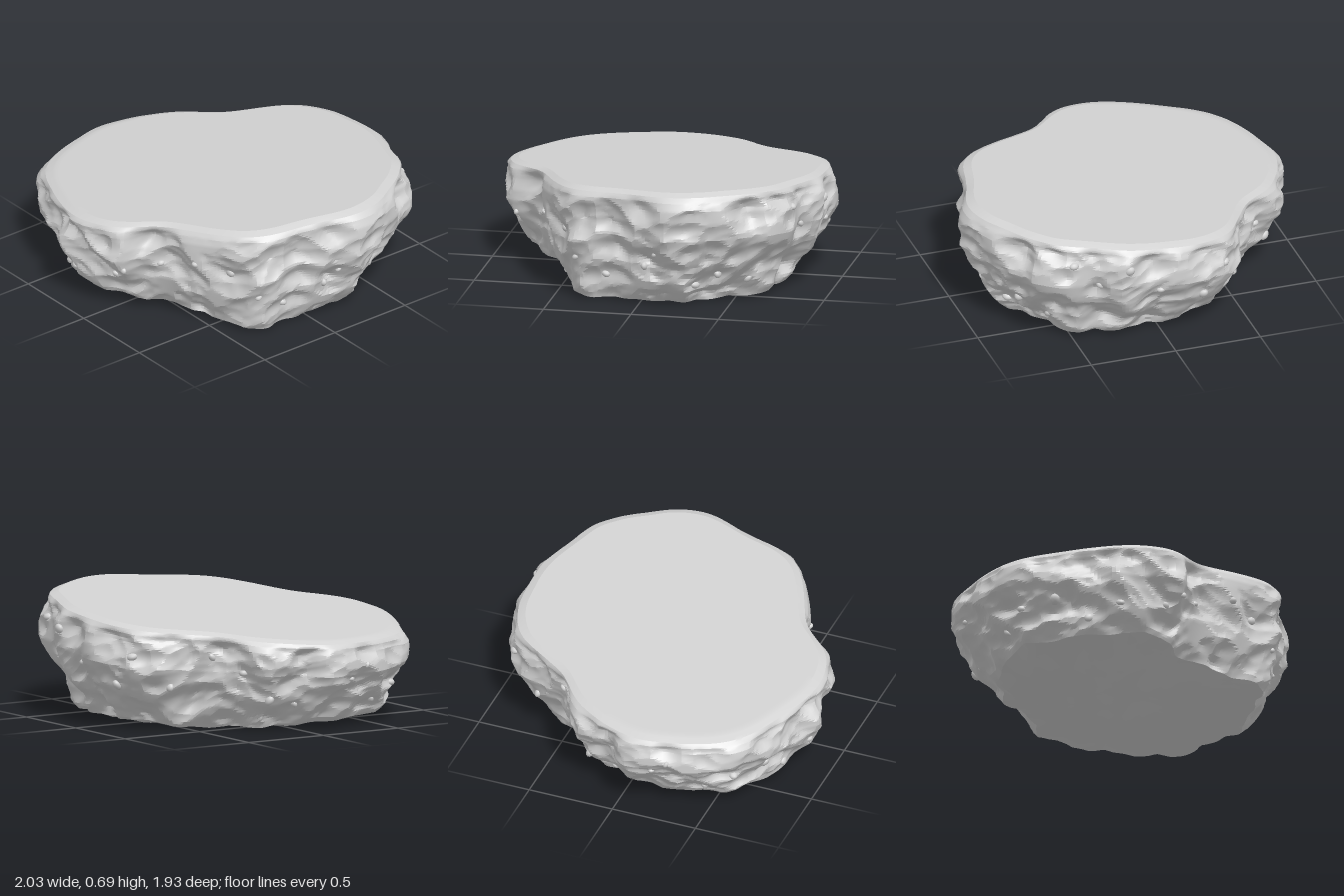
import * as THREE from 'three';
import { toCreasedNormals } from 'three/addons/utils/BufferGeometryUtils.js';

// Rim of the slab seen from above: x, z and how far the base reaches towards the rim
const RIM = [
  [-0.05, -0.96, 0.76], [0.1, -0.935, 0.77], [0.25, -0.965, 0.77], [0.36, -0.915, 0.78], [0.45, -0.845, 0.81],
  [0.6, -0.835, 0.8], [0.75, -0.745, 0.76], [0.8, -0.625, 0.76], [0.9, -0.535, 0.73], [0.945, -0.42, 0.73],
  [0.995, -0.35, 0.74], [1.01, -0.2, 0.74], [0.955, -0.05, 0.79], [0.895, 0.1, 0.83], [0.865, 0.25, 0.87],
  [0.845, 0.38, 0.89], [0.75, 0.46, 0.89], [0.615, 0.535, 0.86], [0.465, 0.615, 0.85], [0.305, 0.665, 0.83],
  [0.205, 0.755, 0.8], [0.13, 0.895, 0.79], [0, 0.93, 0.82], [-0.22, 0.97, 0.84], [-0.415, 0.895, 0.85],
  [-0.615, 0.815, 0.84], [-0.815, 0.695, 0.83], [-0.92, 0.515, 0.79], [-0.985, 0.3, 0.76], [-1.015, 0.02, 0.74],
  [-0.945, -0.06, 0.76], [-0.875, -0.28, 0.74], [-0.715, -0.39, 0.74], [-0.555, -0.56, 0.74], [-0.48, -0.755, 0.74],
  [-0.3, -0.9, 0.75],
];
// Wall profile: height fraction, share of the way from base to rim
const PROFILE = [[0, 0], [0.05, 0.15], [0.14, 0.33], [0.3, 0.58], [0.48, 0.86], [0.6, 1], [1, 1]];
// Rounded upper edge: height fraction, scale
const EDGE = [[0, 1], [0.86, 1], [0.93, 0.985], [0.97, 0.96], [1, 0.91]];
const SEGMENTS = 280, ROWS = 48, BASE_ROWS = 14;

const mix = THREE.MathUtils.lerp;
const smooth = THREE.MathUtils.smoothstep;
const hash = (x, y, z) => {
  const s = Math.sin(x * 127.1 + y * 311.7 + z * 74.7) * 43758.5453;
  return s - Math.floor(s);
};

// Distance to the nearest of a set of scattered points, one per unit cell
function cellDistance(x, y, z) {
  const [i, j, k] = [x, y, z].map(Math.floor);
  let best = 9;
  for (let a = i - 1; a <= i + 1; a++) {
    for (let b = j - 1; b <= j + 1; b++) {
      for (let c = k - 1; c <= k + 1; c++) {
        const dx = a + hash(a, b, c) - x;
        const dy = b + hash(a + 31, b, c) - y;
        const dz = c + hash(a, b + 57, c) - z;
        best = Math.min(best, dx * dx + dy * dy + dz * dz);
      }
    }
  }
  return Math.sqrt(best);
}

// Depth of the chipped stone: broad scoops between sharp ridges, then finer chips
function chipDepth(x, y, z) {
  const u = x + 0.05 * Math.sin(y * 9 + z * 4), v = y + 0.05 * Math.sin(x * 7 - z * 6);
  const broad = 1 - cellDistance(u * 4, v * 5 + 2, z * 4);
  const fine = 1 - cellDistance(u * 8 + 4, v * 11, z * 8);
  return Math.max(0, 0.11 * (broad - 0.3) + 0.04 * (fine - 0.35));
}

const topHeight = (x, z) => 0.606 + 0.091 * x - 0.029 * z;
const baseHeight = (x, z) =>
  0.025 * smooth(z, 0.3, 0.5) + 0.045 * Math.exp(-((x / 0.2) ** 2)) * smooth(z, -0.6, 0.5)
  + 0.025 * smooth(-z, 0.5, 0.75) + 0.025 * smooth(-x, 0.6, 0.75) + 0.024 * cellDistance(x * 6, 2, z * 6);

// Straight-line reading of a table of pairs
function readTable(table, t) {
  let i = 0;
  while (i < table.length - 2 && t > table[i + 1][0]) i++;
  const [a, b] = [table[i], table[i + 1]];
  return mix(a[1], b[1], (t - a[0]) / (b[0] - a[0]));
}

// Rough rim for the wall, and an evened-out rim for the sawn top
const rimPoints = RIM.map(([x, z, reach]) => new THREE.Vector3(x, reach, z));
const rim = new THREE.CatmullRomCurve3(rimPoints, true, 'centripetal').getSpacedPoints(SEGMENTS).slice(0, SEGMENTS);
const evenRim = rim.map((_, i) => {
  const sum = new THREE.Vector3();
  for (let d = -8; d <= 8; d++) sum.add(rim[(i + d + SEGMENTS) % SEGMENTS]);
  return sum.divideScalar(17);
});

// A point on the side wall: i counts around the rim, t runs from base to top
function wallPoint(i, t) {
  const p = rim[i].clone().lerp(evenRim[i], smooth(t, 0.75, 1));
  const scale = mix(p.y, 1, readTable(PROFILE, t)) * readTable(EDGE, t);
  const x = p.x * scale, z = p.z * scale;
  const y = mix(baseHeight(x, z), topHeight(x, z), t);
  const fade = smooth(t, -0.15, 0.1) * (1 - smooth(t, 0.84, 0.99));
  const k = 1 - fade * chipDepth(x, y, z) / Math.hypot(x, z);
  return [x * k, y, z * k];
}

function slabGeometry() {
  const around = (makePoint) => rim.map((_, i) => makePoint(i));
  const rows = [];
  // Underside, from the middle outwards
  for (let r = 1; r < BASE_ROWS; r++) {
    const f = r / BASE_ROWS;
    rows.push(around((i) => {
      const [x, , z] = wallPoint(i, 0);
      return [x * f, baseHeight(x * f, z * f), z * f];
    }));
  }
  // Side wall, with closer rows at the upper edge
  for (let r = 0; r <= ROWS; r++) {
    const t = 1 - (1 - r / ROWS) ** 1.25;
    rows.push(around((i) => wallPoint(i, t)));
  }
  // Narrow border that keeps the top flat
  rows.push(around((i) => {
    const [x, , z] = wallPoint(i, 1);
    return [x * 0.97, topHeight(x * 0.97, z * 0.97), z * 0.97];
  }));

  const positions = rows.flat(2), index = [];
  for (let r = 0; r < rows.length - 1; r++) {
    for (let i = 0; i < SEGMENTS; i++) {
      const j = (i + 1) % SEGMENTS;
      const a = r * SEGMENTS + i, b = r * SEGMENTS + j;
      index.push(a, a + SEGMENTS, b, b, a + SEGMENTS, b + SEGMENTS);
    }
  }
  // Close the underside and the top
  const base = positions.length / 3;
  positions.push(0, baseHeight(0, 0), 0, 0, topHeight(0, 0), 0);
  const last = (rows.length - 1) * SEGMENTS;
  for (let i = 0; i < SEGMENTS; i++) {
    const j = (i + 1) % SEGMENTS;
    index.push(base, i, j, base + 1, last + j, last + i);
  }
  const geometry = new THREE.BufferGeometry();
  geometry.setAttribute('position', new THREE.Float32BufferAttribute(positions, 3));
  geometry.setIndex(index);
  return toCreasedNormals(geometry, 0.3);
}

export function createModel() {
  const stone = new THREE.MeshStandardMaterial({ color: 0xd2d2d2 });
  stone.name = 'grey stone';
  const model = new THREE.Group();
  model.name = 'rockSlab';

  const slab = new THREE.Mesh(slabGeometry(), stone);
  slab.name = 'slab';
  model.add(slab);

  // Small pebbles sunk into the wall
  const pebbles = new THREE.Group();
  pebbles.name = 'pebbles';
  const pebbleShape = new THREE.IcosahedronGeometry(1, 1);
  const count = 30;
  for (let n = 0; n < count; n++) {
    const i = Math.floor((n + 0.7 * hash(n, 1, 2)) * SEGMENTS / count);
    const pebble = new THREE.Mesh(pebbleShape, stone);
    pebble.name = 'pebble';
    const [x, y, z] = wallPoint(i, 0.15 + 0.65 * hash(n, 5, 3));
    pebble.position.set(x * 0.99, y, z * 0.99);
    const r = 0.018 + 0.012 * hash(n, 7, 1);
    pebble.scale.set(r * 1.2, r * 0.8, r);
    pebble.rotation.set(n, n * 2, 0);
    pebbles.add(pebble);
  }
  model.add(pebbles);
  return model;
}
